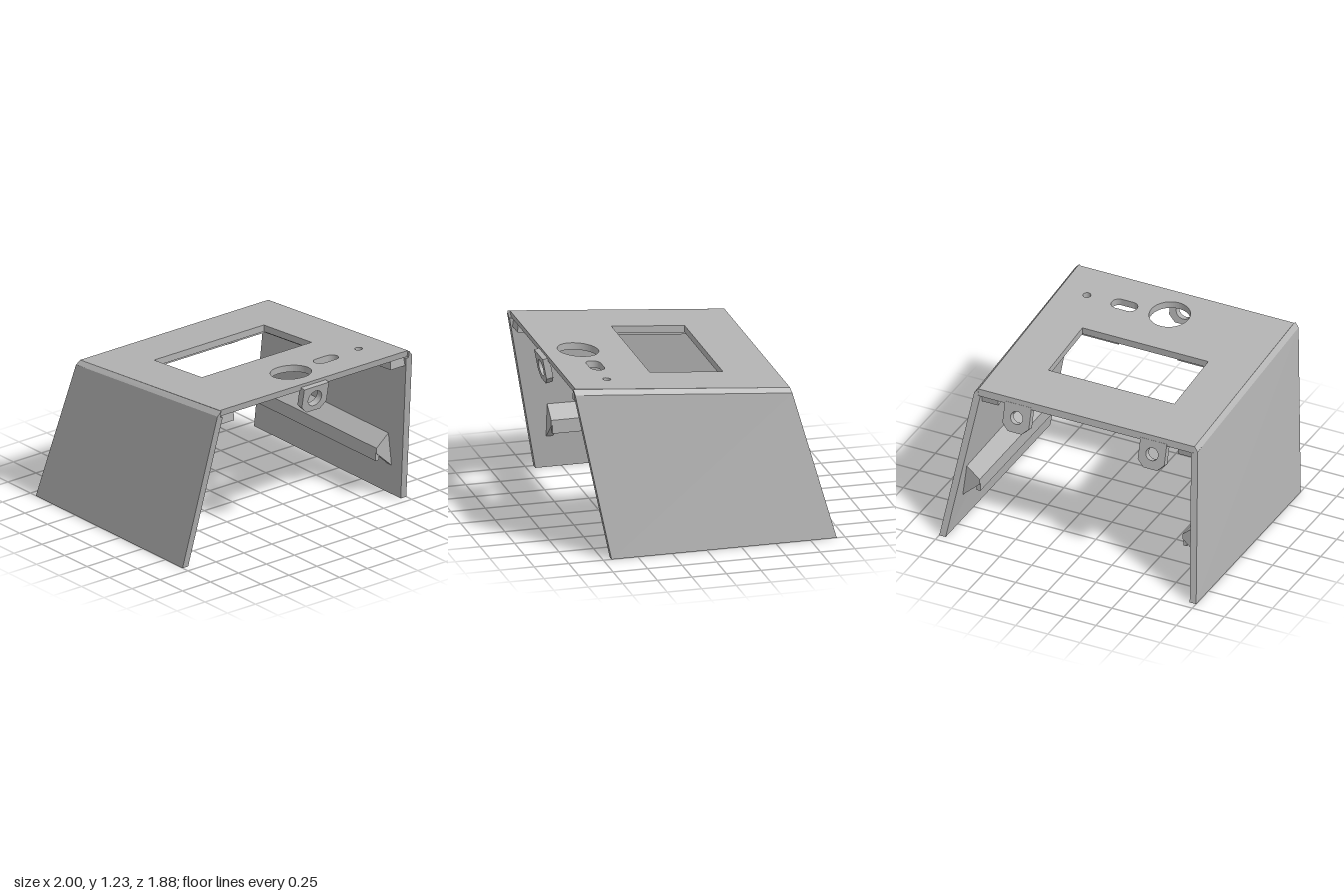
import * as THREE from 'three';

export function createModel() {
  const model = new THREE.Group();
  model.name = 'instrumentCover';
  const grey = new THREE.MeshStandardMaterial({ color: 0xb3b3b3 });
  grey.name = 'plainGrey';

  const add = (geometry, name) => {
    const mesh = new THREE.Mesh(geometry, grey);
    mesh.name = name;
    model.add(mesh);
    return mesh;
  };
  const polygon = (points, side = 1) =>
    new THREE.Shape(points.map(([x, y]) => new THREE.Vector2(x * side, y)));
  const circle = (x, y, r) => new THREE.Path().absarc(x, y, r, 0, Math.PI * 2, true);
  const extrude = (shape, depth) =>
    new THREE.ExtrudeGeometry(shape, { depth, bevelEnabled: false, curveSegments: 32 });
  // Move every vertex by a rule, then refresh the flat normals
  const warp = (geometry, rule) => {
    const p = geometry.attributes.position;
    for (let i = 0; i < p.count; i++) p.setXYZ(i, ...rule(p.getX(i), p.getY(i), p.getZ(i)));
    geometry.computeVertexNormals();
    return geometry;
  };

  // Sloping surfaces of the shell
  const topY = (z) => 1.225 - 0.09 * (0.9 - z);
  const frontZ = (y) => 0.69 + 0.19 * y;
  const backZ = (y) => -0.94 + 0.27 * y;
  const thick = 0.05;

  // Top plate with screen window, round, slotted and pin holes
  const plate = polygon([[-0.84, -0.906], [0.84, -0.906], [0.84, 0.647], [-0.84, 0.647]]);
  plate.holes.push(
    new THREE.Path([[-0.49, -0.27], [-0.49, 0.26], [0.49, 0.26], [0.49, -0.27]]
      .map(([x, y]) => new THREE.Vector2(x, y))),
    circle(0, -0.65, 0.145),
    new THREE.Path()
      .absarc(0.293, -0.62, 0.053, Math.PI * 1.5, Math.PI * 0.5, true)
      .absarc(0.383, -0.62, 0.053, Math.PI * 0.5, -Math.PI * 0.5, true),
    circle(0.63, -0.62, 0.028));
  const plateGeometry = extrude(plate, thick).rotateX(-Math.PI / 2);
  add(warp(plateGeometry, (x, d, z) => {
    const lean = Math.abs(z) > 0.64 && Math.abs(x) > 0.8 ? 0.2 * (thick - d) : 0;
    return [x, topY(z) - thick + d, z - lean];
  }), 'topPlate');

  // Ribs hanging under the plate
  const hang = (name, x, z, w, h, l) => {
    const rib = add(new THREE.BoxGeometry(w, h, l), name);
    rib.position.set(x, topY(z) - thick - h / 2 + 0.003, z);
    rib.rotation.x = -0.09;
  };
  hang('screenBackRib', 0, -0.33, 1.16, 0.035, 0.04);
  hang('screenFrontRib', 0, 0.33, 0.5, 0.03, 0.04);

  for (const side of [1, -1]) {
    const label = side > 0 ? 'left' : 'right';
    hang(label + 'ScreenFrontRib', side * 0.405, 0.33, 0.35, 0.045, 0.04);
    hang(label + 'ScreenSideRib', side * 0.56, 0, 0.04, 0.035, 0.66);

    // Leaning side panel with a chamfered shoulder
    const panel = polygon([[1, 0], [0.87, 1.19], [0.84, 1.225], [0.84, 1.175],
      [0.82, 1.172], [0.95, 0]], side);
    add(warp(extrude(panel, 1), (x, y, t) => {
      const py = y * (1 - 0.1134 * (1 - t));
      return [x, py, t > 0.5 ? frontZ(py) : backZ(py)];
    }), label + 'SidePanel');

    // Hooked rail inside the panel, closed by a gusset at each end
    const hook = polygon([[0.91, 0.5], [0.79, 0.4], [0.79, 0.3], [0.82, 0.3],
      [0.82, 0.385], [0.92, 0.46]], side);
    add(extrude(hook, 1.33), label + 'Rail').position.z = -0.72;
    const gusset = polygon([[0.91, 0.5], [0.79, 0.4], [0.79, 0.36], [0.93, 0.23]], side);
    for (const z of [-0.73, 0.57])
      add(extrude(gusset, 0.05), label + 'RailGusset').position.z = z;

    // Open sockets along the plate edge
    for (const z of [0.83, 0.02, -0.56]) {
      const ring = polygon([[0.7, -0.06], [0.85, -0.06], [0.85, 0.06], [0.7, 0.06]], side);
      ring.holes.push(polygon([[0.73, -0.03], [0.82, -0.03], [0.82, 0.03], [0.73, 0.03]], side));
      const socket = add(extrude(ring, 0.07).rotateX(-Math.PI / 2), label + 'Socket');
      socket.position.set(0, topY(z) - thick - 0.065, z);
      socket.rotation.x = -0.09;
    }
  }

  // Screw tab with chamfered lower corners and a hole
  const tab = (name, x, y, z, tilt, w, up, down, r, offset) => {
    const shape = polygon([[-w, up], [-w, -down + 0.05], [-w + 0.05, -down],
      [w - 0.05, -down], [w, -down + 0.05], [w, up]]);
    shape.holes.push(circle(0, 0, r));
    const mesh = add(extrude(shape, thick).translate(0, 0, offset), name);
    mesh.position.set(x, y, z);
    mesh.rotation.x = tilt;
  };
  tab('frontScrewTab', 0, 1.095, 0.918, Math.atan(0.19), 0.11, 0.1, 0.1, 0.06, -thick);
  for (const side of [1, -1])
    tab('backScrewTab', side * 0.527, 0.955, backZ(0.955), Math.atan(0.27),
      0.103, 0.1, 0.11, 0.047, 0);

  return model;
}
